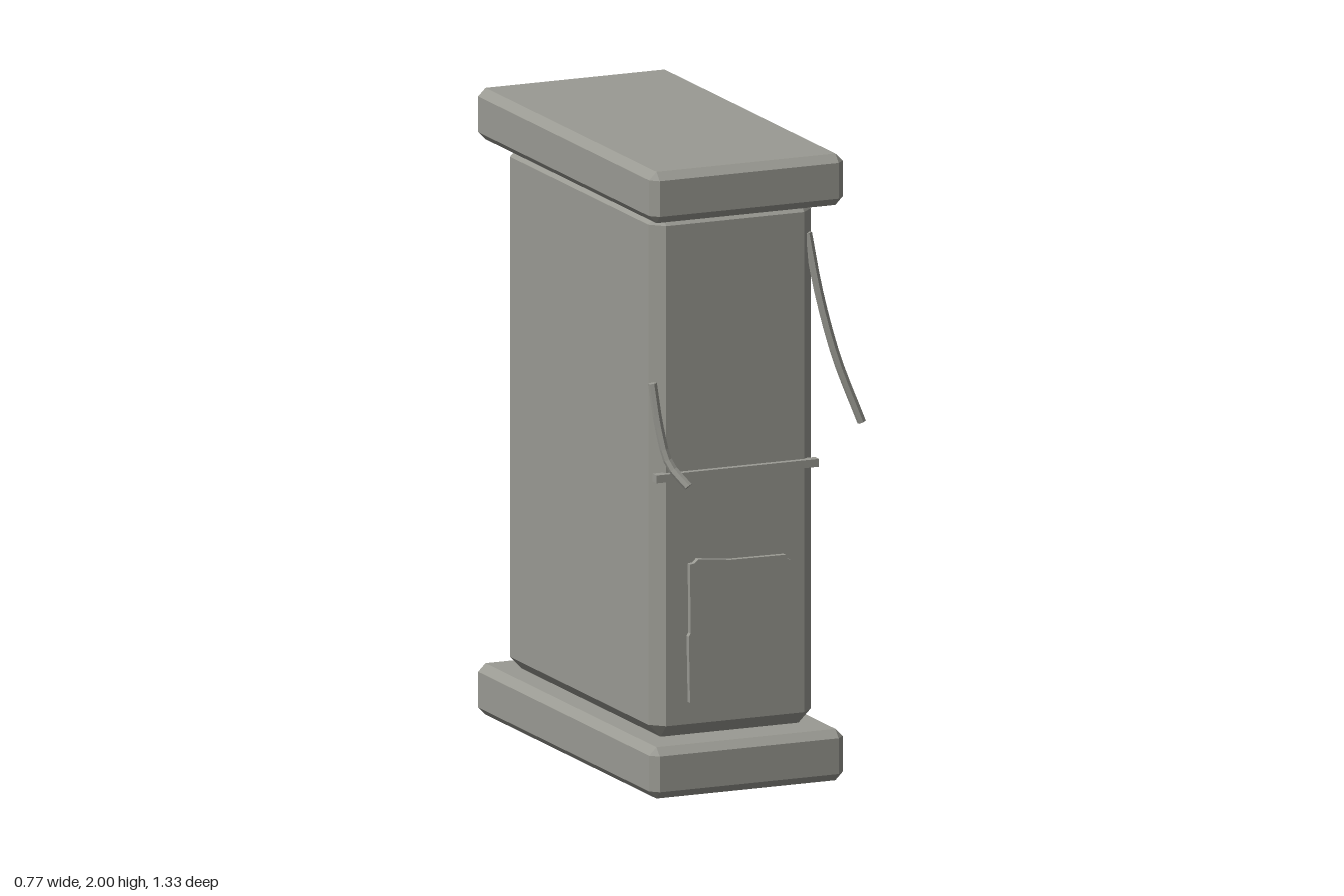
import * as THREE from 'three';
import { ConvexGeometry } from 'three/addons/geometries/ConvexGeometry.js';

const stone = new THREE.MeshStandardMaterial({ color: 0x9a9a93 });
stone.name = 'grey stone';
stone.flatShading = true;

const CX = -0.055; // the block sits off centre because of the hanging strand

function add(group, name, geometry) {
  const mesh = new THREE.Mesh(geometry, stone);
  mesh.name = name;
  group.add(mesh);
  return mesh;
}

// Box with a single flat bevel on every edge and corner
function bevelBox(w, h, d, b) {
  const half = [w / 2, h / 2, d / 2];
  const points = [];
  for (const sx of [-1, 1]) for (const sy of [-1, 1]) for (const sz of [-1, 1]) {
    for (let axis = 0; axis < 3; axis++) {
      const [x, y, z] = half.map((v, i) => (i === axis ? v : v - b));
      points.push(new THREE.Vector3(sx * x, sy * y, sz * z));
    }
  }
  return new ConvexGeometry(points);
}

// Bent rod with closed ends
function rod(group, name, points, radius) {
  const part = new THREE.Group();
  part.name = name;
  const curve = new THREE.CatmullRomCurve3(points.map((p) => new THREE.Vector3(...p)));
  add(part, name + 'Stem', new THREE.TubeGeometry(curve, 10, radius, 6, false));
  for (const t of [0, 1]) {
    const cap = add(part, name + 'End', new THREE.CircleGeometry(radius, 6));
    const out = curve.getTangentAt(t).multiplyScalar(t ? 1 : -1);
    cap.position.copy(curve.getPointAt(t));
    cap.quaternion.setFromUnitVectors(new THREE.Vector3(0, 0, 1), out);
  }
  group.add(part);
}

export function createModel() {
  const model = new THREE.Group();
  model.name = 'stonePillar';

  // Base and cap slabs
  for (const [name, y] of [['baseSlab', 0.082], ['capSlab', 1.918]]) {
    add(model, name, bevelBox(0.662, 0.164, 1.33, 0.025)).position.set(CX, y, 0);
  }

  // Main block
  add(model, 'block', bevelBox(0.556, 1.68, 1.12, 0.042)).position.set(CX, 1.005, 0);

  // Narrow ledge across the front
  add(model, 'ledge', new THREE.BoxGeometry(0.556, 0.025, 0.03)).position.set(CX, 1.003, 0.565);

  // Worn plaque on the front
  const outline = [
    [-0.218, 0.278], [0.11, 0.278], [0.11, 0.5], [0.132, 0.7], [0.113, 0.708], [0.11, 0.72],
    [-0.08, 0.722], [-0.19, 0.734], [-0.203, 0.722], [-0.218, 0.72], [-0.216, 0.5], [-0.222, 0.49],
  ].map(([x, y]) => new THREE.Vector2(x, y));
  const plaque = new THREE.ExtrudeGeometry(new THREE.Shape(outline), { depth: 0.028, bevelEnabled: false });
  add(model, 'plaque', plaque).position.z = 0.55;

  // Bent strands at the two front edges
  rod(model, 'leftStrand',
    [[0.205, 1.73, 0.533], [0.237, 1.54, 0.547], [0.29, 1.33, 0.563], [0.368, 1.12, 0.58]], 0.014);
  rod(model, 'rightStrand',
    [[-0.336, 1.305, 0.555], [-0.317, 1.16, 0.567], [-0.293, 1.05, 0.588], [-0.25, 0.983, 0.635]], 0.014);

  return model;
}
